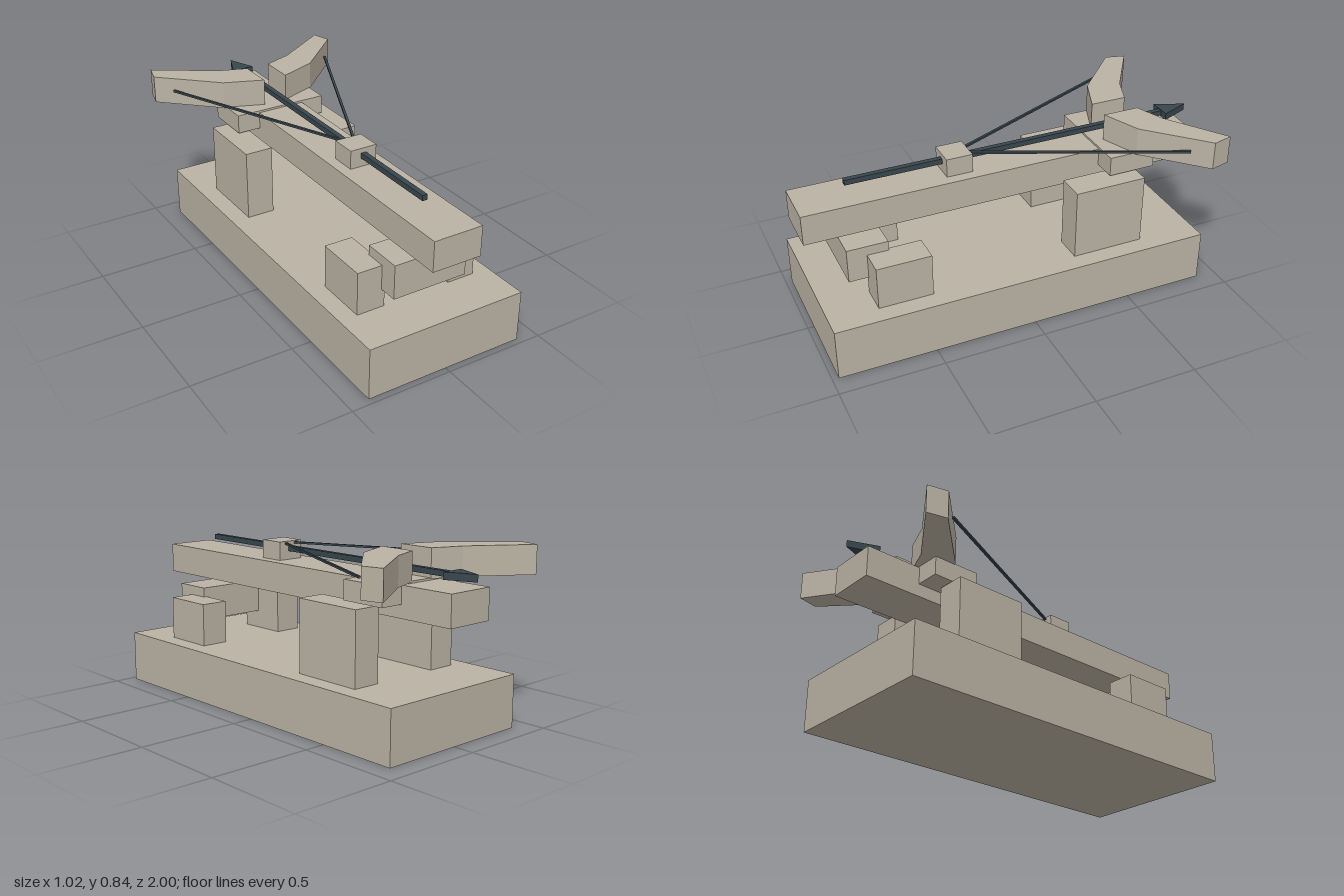
import * as THREE from 'three';

export function createModel() {
  const model = new THREE.Group();
  model.name = 'ballista';

  const wood = new THREE.MeshStandardMaterial({ color: 0xbbb3a4 });
  wood.name = 'pale wood';
  const iron = new THREE.MeshStandardMaterial({ color: 0x39464e });
  iron.name = 'dark iron';

  const add = (name, geometry, material) => {
    const mesh = new THREE.Mesh(geometry, material);
    mesh.name = name;
    model.add(mesh);
    return mesh;
  };

  // Box given by its extents on each axis
  const block = (name, [x0, x1], [y0, y1], [z0, z1], material = wood) =>
    add(name, new THREE.BoxGeometry(x1 - x0, y1 - y0, z1 - z0), material)
      .position.set((x0 + x1) / 2, (y0 + y1) / 2, (z0 + z1) / 2);

  // Upright prism from an [x, z] outline
  const prism = (name, outline, y0, y1, material) => {
    const shape = new THREE.Shape(outline.map(([x, z]) => new THREE.Vector2(x, -z)));
    const geometry = new THREE.ExtrudeGeometry(shape, { depth: y1 - y0, bevelEnabled: false });
    geometry.rotateX(-Math.PI / 2);
    geometry.translate(0, y0, 0);
    add(name, geometry, material);
  };

  // Base, stock and cross pieces
  block('base', [-0.4, 0.4], [0, 0.253], [-0.9, 0.97]);
  block('stock', [-0.122, 0.122], [0.548, 0.694], [-0.965, 1]);
  block('bowMount', [-0.24, 0.24], [0.61, 0.704], [-0.688, -0.455]);
  block('frontCrossBlock', [-0.188, 0.188], [0.343, 0.51], [0.635, 0.83]);
  block('stringCatch', [-0.068, 0.068], [0.69, 0.784], [0.172, 0.3]);

  // Posts, bow arms and strings on both sides
  for (const [side, s] of [['left', 1], ['right', -1]]) {
    const span = (a, b) => (s > 0 ? [a, b] : [-b, -a]);
    block(side + 'RearPost', span(0.172, 0.311), [0.25, 0.6], [-0.603, -0.245]);
    block(side + 'FrontPost', span(0.172, 0.311), [0.25, 0.463], [0.475, 0.737]);

    const arm = [[0.06, -0.51], [0.25, -0.585], [0.512, -0.835],
      [0.487, -0.933], [0.205, -0.745], [0.06, -0.69]];
    prism(side + 'BowArm', arm.map(([x, z]) => [s * x, z]), 0.7, 0.836, wood);

    const from = new THREE.Vector3(s * 0.442, 0.774, -0.755);
    const to = new THREE.Vector3(s * 0.025, 0.774, 0.18);
    const string = add(side + 'Bowstring',
      new THREE.BoxGeometry(0.012, 0.01, from.distanceTo(to)), iron);
    string.position.copy(from).lerp(to, 0.5);
    string.lookAt(to);
  }

  // Bolt with its flat arrowhead
  block('boltShaft', [-0.013, 0.013], [0.735, 0.761], [-0.87, 0.765], iron);
  prism('boltHead', [[-0.057, -0.86], [0.057, -0.86], [0, -1]], 0.731, 0.765, iron);

  return model;
}
